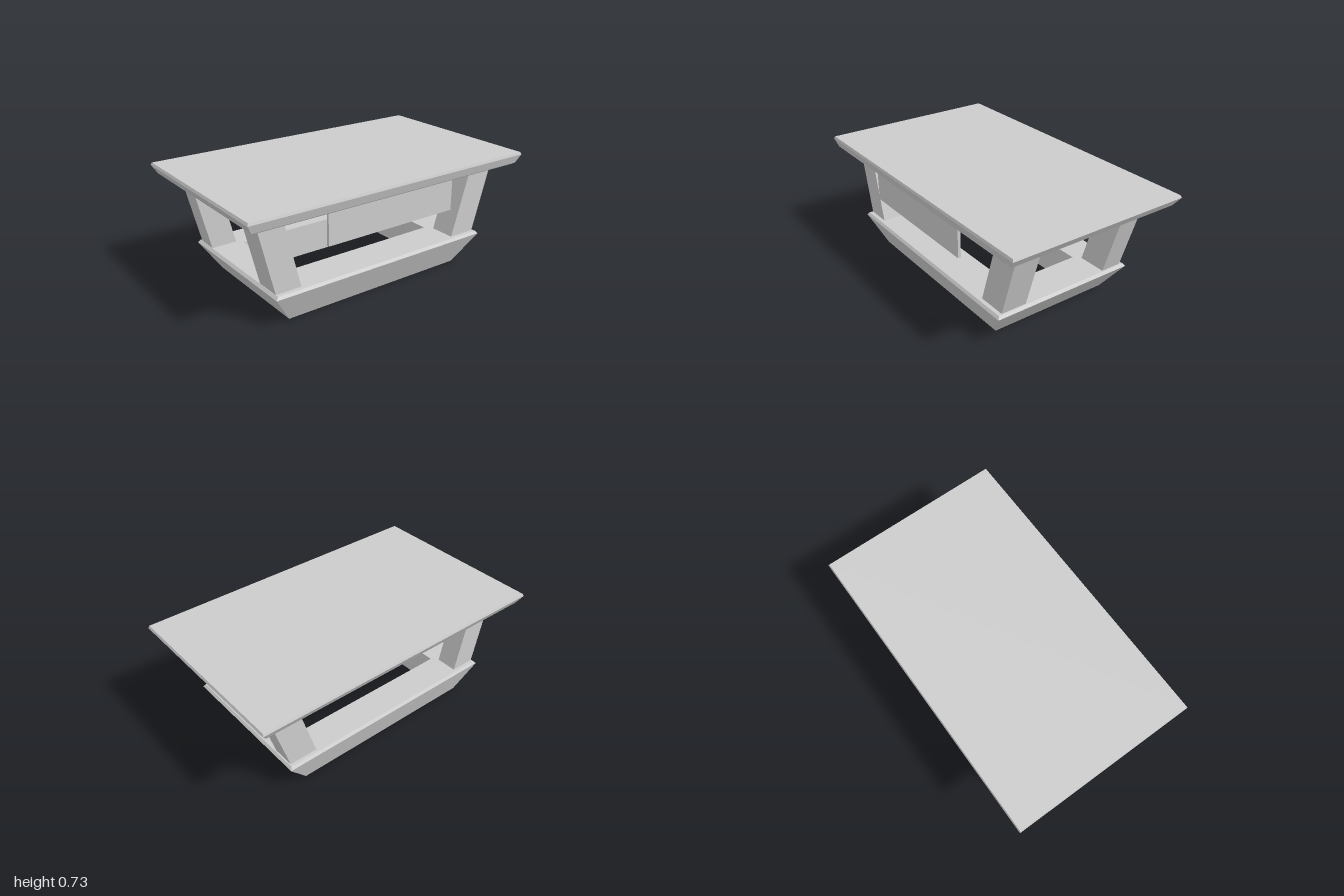
import * as THREE from 'three';

const material = new THREE.MeshStandardMaterial({ color: 0xcccccc, flatShading: true, side: THREE.DoubleSide });

// Skins a stack of rectangles [y, x0, x1, z0, z1]; ends are capped, or joined to each other when closed
function loftRects(sections, closed = false) {
  const rings = sections.map(([y, x0, x1, z0, z1]) => [[x0, y, z1], [x1, y, z1], [x1, y, z0], [x0, y, z0]]);
  const positions = [];
  const quad = (a, b, c, d) => positions.push(...a, ...b, ...c, ...a, ...c, ...d);
  const last = rings.length - 1;
  for (let i = 0; i < (closed ? rings.length : last); i++) {
    const low = rings[i], high = rings[(i + 1) % rings.length];
    for (let k = 0; k < 4; k++) {
      const n = (k + 1) % 4;
      quad(low[k], low[n], high[n], high[k]);
    }
  }
  if (!closed) {
    quad(...rings[last]);
    quad(...[...rings[0]].reverse());
  }
  const geometry = new THREE.BufferGeometry();
  geometry.setAttribute('position', new THREE.Float32BufferAttribute(positions, 3));
  geometry.computeVertexNormals();
  return geometry;
}

export function createModel() {
  const group = new THREE.Group();
  const add = (name, geometry) => {
    const mesh = new THREE.Mesh(geometry, material);
    mesh.name = name;
    group.add(mesh);
    return mesh;
  };

  // Flared base frame with an opening right through it
  add('baseFrame', loftRects([
    [0, -0.665, 0.61, -0.4, 0.415],
    [0.193, -0.793, 0.755, -0.462, 0.502],
    [0.21, -0.778, 0.742, -0.45, 0.49],
    [0.21, -0.575, 0.51, -0.25, 0.25],
    [0, -0.575, 0.515, -0.25, 0.36],
  ], true));

  // Slab top with bevelled edges
  add('tableTop', loftRects([
    [0.657, -0.96, 0.955, -0.562, 0.575],
    [0.664, -0.97, 0.965, -0.57, 0.583],
    [0.716, -1, 1, -0.6, 0.6],
    [0.732, -0.993, 0.993, -0.594, 0.595],
  ]));

  // Four posts leaning outwards: x ranges at foot and head, z ranges front and back
  const sides = { right: [-0.775, -0.608, -0.885, -0.72], left: [0.547, 0.732, 0.688, 0.87] };
  const depths = { front: [0.297, 0.465], back: [-0.43, -0.29] };
  for (const [side, [f0, f1, h0, h1]] of Object.entries(sides)) {
    for (const [end, [z0, z1]] of Object.entries(depths)) {
      add(`${end}${side === 'left' ? 'Left' : 'Right'}Post`,
        loftRects([[0.205, f0, f1, z0, z1], [0.66, h0, h1, z0, z1]]));
    }
  }

  // Thin panel hanging under the front edge
  add('hangingPanel', new THREE.BoxGeometry(0.92, 0.212, 0.018)).position.set(-0.02, 0.556, 0.54);

  return group;
}
